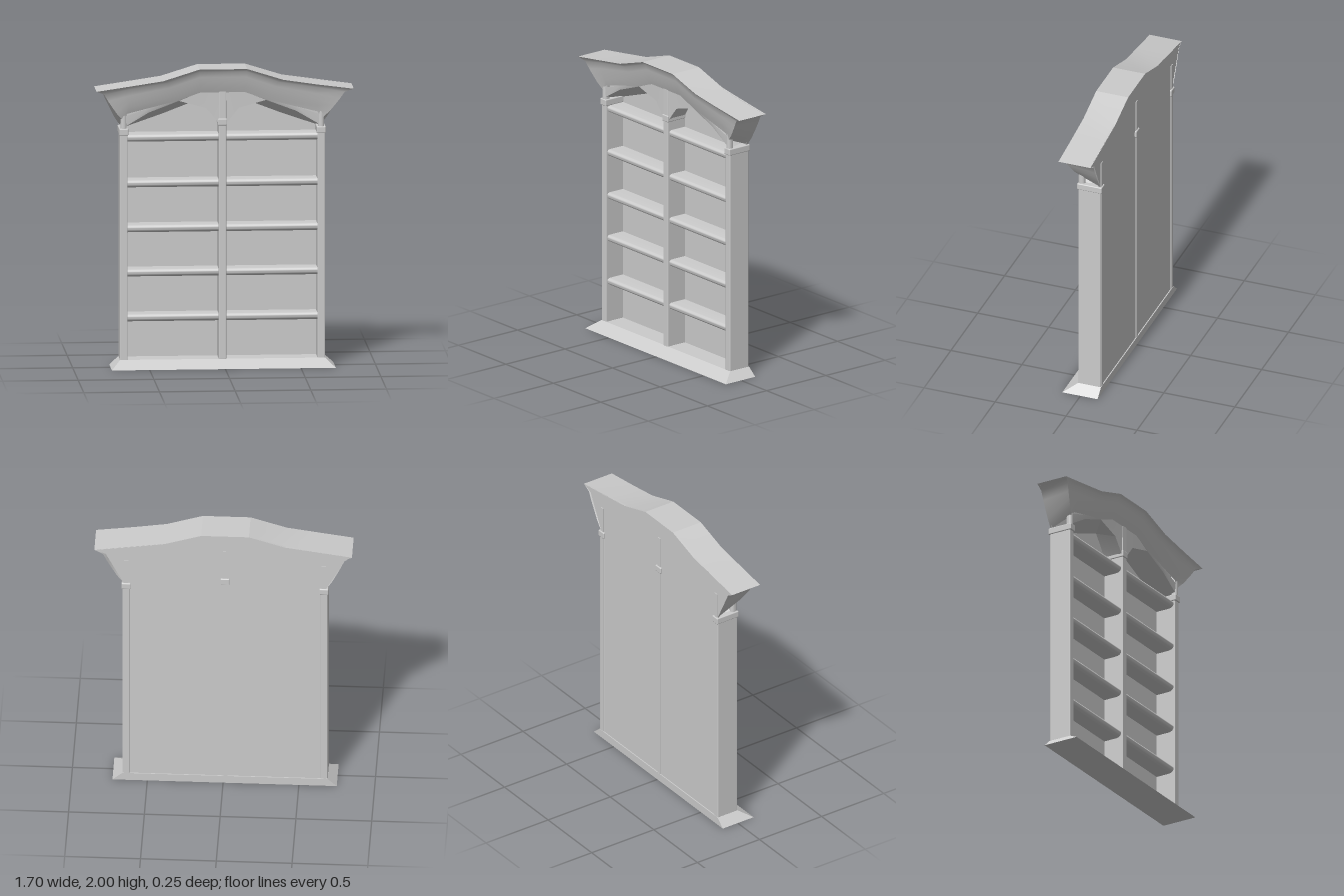
import * as THREE from 'three';
import { toCreasedNormals } from 'three/addons/utils/BufferGeometryUtils.js';
import { RoundedBoxGeometry } from 'three/addons/geometries/RoundedBoxGeometry.js';

const C = -0.0125; // mirror plane of the case
const mat = new THREE.MeshStandardMaterial({ color: 0xcccccc });
const thin = new THREE.MeshStandardMaterial({ color: 0xcccccc, side: THREE.DoubleSide });

export function createModel() {
  const root = new THREE.Group();

  const add = (name, geo, material = mat) => {
    const mesh = new THREE.Mesh(geo, material);
    mesh.name = name;
    root.add(mesh);
    return mesh;
  };
  // box from its limits
  const box = (name, x0, x1, y0, y1, z0, z1, r = 0) => {
    const s = [x1 - x0, y1 - y0, z1 - z0];
    const geo = r ? new RoundedBoxGeometry(...s, 3, r) : new THREE.BoxGeometry(...s);
    geo.translate((x0 + x1) / 2, (y0 + y1) / 2, (z0 + z1) / 2);
    return add(name, geo);
  };
  // surface through rows of [x, y, z] points
  const loft = (name, rows, crease = 0.6) => {
    const n = rows[0].length, index = [];
    for (let r = 0; r < rows.length - 1; r++) {
      for (let i = 0; i < n - 1; i++) {
        const a = r * n + i, b = a + n;
        index.push(a, b, a + 1, a + 1, b, b + 1);
      }
    }
    const geo = new THREE.BufferGeometry();
    geo.setAttribute('position', new THREE.Float32BufferAttribute(rows.flat(2), 3));
    geo.setIndex(index);
    return add(name, toCreasedNormals(geo, crease), thin);
  };
  // left half continued to the right; the crown tips mirror about x = 0
  const flip = ([x, ...rest]) => [x < -0.8 ? -x : 2 * C - x, ...rest];
  const both = (half) => [...half, ...half.map(flip).reverse()];

  // sloping plinth
  const lower = [[-0.75, 0, -0.12], [-0.75, 0, 0.128], [0.73, 0, 0.128], [0.73, 0, -0.12], [-0.75, 0, -0.12]];
  const upper = [[-0.69, 0.055, -0.12], [-0.69, 0.055, 0.04], [0.665, 0.055, 0.04], [0.665, 0.055, -0.12], [-0.69, 0.055, -0.12]];
  const centre = (y) => lower.map(() => [C, y, -0.04]);
  loft('plinth', [centre(0.055), upper, lower, centre(0)].reverse(), 0.2);

  // back panel, spreading out to the crown tips
  const outline = both([[-0.682, 0.05], [-0.682, 1.6], [-0.8, 1.83], [-0.85, 1.86], [-0.41, 1.925], [-0.17, 2]]);
  const panel = new THREE.Shape(outline.map(([x, y]) => new THREE.Vector2(x, y)));
  add('backPanel', new THREE.ExtrudeGeometry(panel, { depth: 0.012, bevelEnabled: false }).translate(0, 0, -0.113));

  // uprights with collars and rounded tops
  for (const s of [-1, 1]) {
    const x = C + s * 0.6525;
    box('sideUpright', x - 0.025, x + 0.025, 0.05, 1.6, -0.117, 0.04, 0.006);
    box('sideUprightTop', x - 0.02, x + 0.02, 1.56, 1.73, 0.0, 0.045, 0.019);
    box('sideBackStrip', x - 0.015, x + 0.015, 0.05, 1.78, -0.118, -0.1);
    box('sideCollar', x - 0.03, x + 0.03, 1.555, 1.6, -0.126, 0.048, 0.006);
  }
  box('centreUpright', C - 0.025, C + 0.025, 0.05, 1.86, -0.112, 0.042, 0.006);
  box('centreBackStrip', C - 0.015, C + 0.015, 0.05, 1.88, -0.118, -0.1);
  box('centreCollar', C - 0.03, C + 0.03, 1.615, 1.66, -0.126, 0.048, 0.006);

  // shelves with a rolled front edge
  const edge = new THREE.Shape();
  edge.moveTo(-0.105, 0);
  edge.lineTo(-0.105, 0.05);
  edge.lineTo(0.01, 0.05);
  edge.quadraticCurveTo(0.03, 0.048, 0.03, 0.03);
  edge.quadraticCurveTo(0.028, 0.002, -0.01, 0);
  for (const y of [0.305, 0.605, 0.9, 1.2, 1.505]) {
    for (const x of [-0.64, 0.005]) {
      const geo = new THREE.ExtrudeGeometry(edge, { depth: 0.61, bevelEnabled: false, curveSegments: 6 });
      // profile runs in z and y, swept along x
      geo.rotateY(-Math.PI / 2).translate(0.61, 0, 0);
      add('shelf', toCreasedNormals(geo, 0.6)).position.set(x, y, 0);
    }
  }

  // crown: roof strip, then a cove sweeping in to the front of the case
  const roof = both([[-0.85, 1.86], [-0.63, 1.892], [-0.41, 1.925], [-0.17, 2]]);
  loft('crownRoof', [-0.115, 0.11].map((z) => roof.map(([x, y]) => [x, y, z])), 0.3);

  const top = both([[-0.85, 1.86, -0.115], [-0.85, 1.86, 0.11], [-0.63, 1.892, 0.11], [-0.41, 1.925, 0.11], [-0.17, 2, 0.11]]);
  const foot = both([[-0.682, 1.6, -0.115], [-0.675, 1.66, 0.04], [-0.64, 1.7, 0.04], [-0.3, 1.785, 0.04], [-0.16, 1.835, 0.04]]);
  const steps = [[0, 0], [0.12, 0.04], [0.3, 0.12], [0.45, 0.35], [0.6, 0.55], [0.78, 0.78], [1, 1]];
  const mix = THREE.MathUtils.lerp;
  loft('crownCove', steps.map(([inward, down]) => top.map((p, i) => [
    mix(p[0], foot[i][0], inward), mix(p[1], foot[i][1], down), mix(p[2], foot[i][2], inward),
  ])), 0.8);

  // small vaults between the uprights, with spandrels up to the cove
  const crown = [[-0.66, 1.68], [-0.5, 1.735], [-0.3, 1.787], [-0.16, 1.838], [-0.03, 1.855]];
  const front = [[-0.66, 1.61], [-0.5, 1.705], [-0.3, 1.78], [-0.12, 1.73], [-0.03, 1.62]];
  const back = [[-0.66, 1.585], [-0.4, 1.675], [-0.14, 1.775], [-0.08, 1.7], [-0.03, 1.62]];
  for (const right of [false, true]) {
    const row = (pts, z) => pts.map(([x, y]) => (right ? flip([x, y, z]) : [x, y, z]));
    loft('vaultCeiling', [row(front, 0.036), row(back, -0.102)], 0.5);
    loft('vaultSpandrel', [row(crown, 0.04), row(front, 0.036)], 0.5);
  }

  return root;
}
